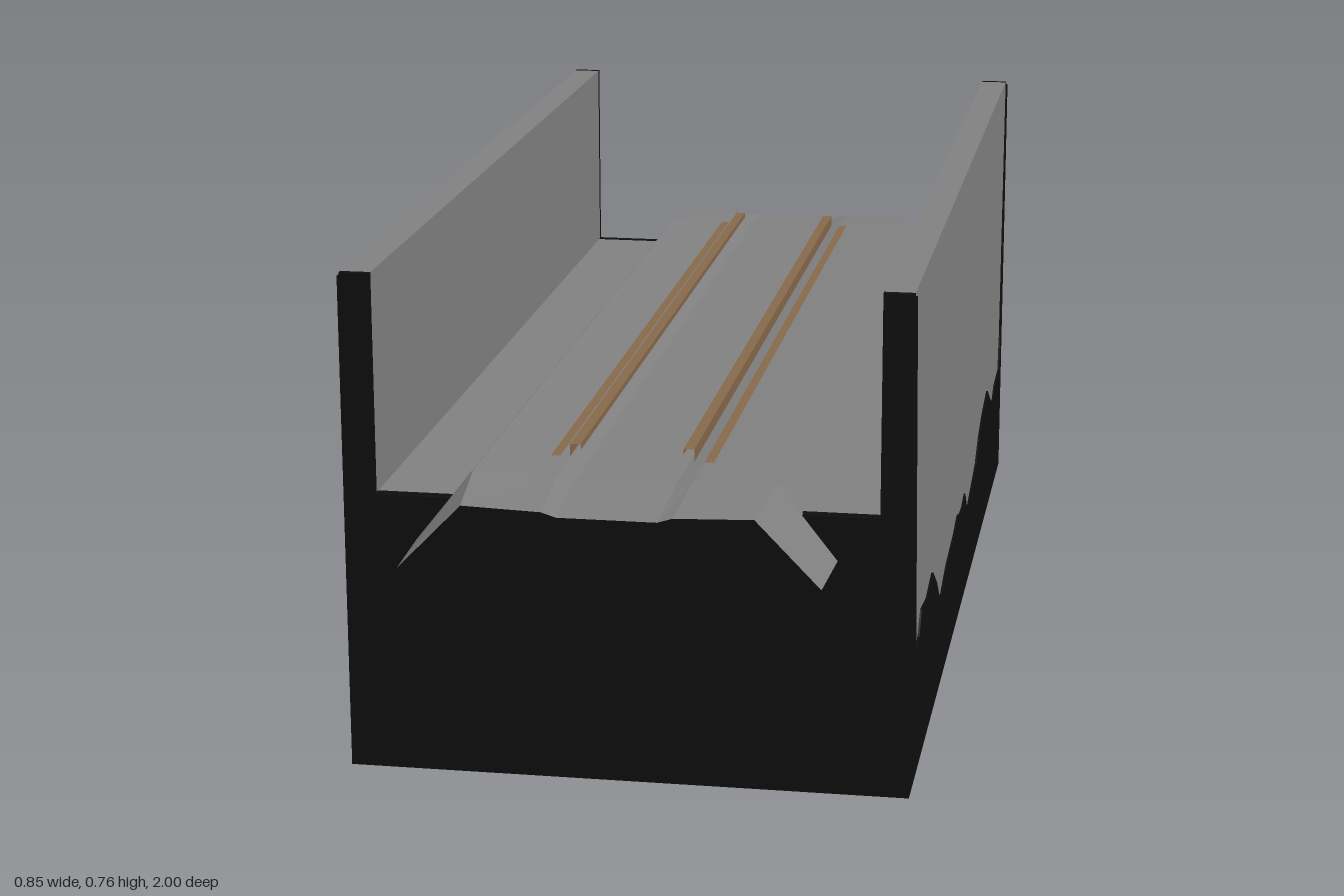
import * as THREE from 'three';

const mat = (name, color, side = THREE.FrontSide) => {
  const m = new THREE.MeshStandardMaterial({ color, side });
  m.name = name;
  return m;
};

// Open sheet lofted through equal-length cross-sections [[x, y, z], ...], flat shaded.
function sheet(sections) {
  const pos = [];
  for (let i = 0; i < sections.length - 1; i++) {
    const p = sections[i], q = sections[i + 1];
    for (let j = 0; j < p.length - 1; j++) {
      pos.push(...p[j], ...q[j], ...q[j + 1], ...p[j], ...q[j + 1], ...p[j + 1]);
    }
  }
  const g = new THREE.BufferGeometry();
  g.setAttribute('position', new THREE.Float32BufferAttribute(pos, 3));
  g.computeVertexNormals();
  return g;
}

// U-shaped channel section, extruded from z0 to z1
function channel(z0, z1, base, w = 0.42, top = 0.765) {
  const s = new THREE.Shape([
    [-w, base], [w, base], [w, top], [0.375, top],
    [0.375, 0.43], [-0.375, 0.43], [-0.375, top], [-w, top],
  ].map(([x, y]) => new THREE.Vector2(x, y)));
  const g = new THREE.ExtrudeGeometry(s, { depth: z1 - z0, bevelEnabled: false });
  return g.translate(0, 0, z0);
}

// Ragged upper edge of the dark skirt on each side, as [z, y]
const leftEdge = [
  [0.85, 0.76], [0.79, 0.24], [0.78, 0.2], [0.74, 0.21], [0.705, 0.24], [0.62, 0.228], [0.53, 0.24],
  [0.46, 0.2], [0.41, 0.16], [0.37, 0.148], [0.28, 0.168], [0.14, 0.178], [0.08, 0.19], [0.03, 0.178],
  [-0.01, 0.176], [-0.06, 0.185], [-0.1, 0.15], [-0.14, 0.14], [-0.29, 0.168], [-0.35, 0.2],
  [-0.42, 0.222], [-0.53, 0.24], [-0.61, 0.2], [-0.67, 0.18], [-0.715, 0.2], [-0.81, 0.205],
  [-0.83, 0.27], [-0.852, 0.76],
];
const rightEdge = [
  [0.855, 0.76], [0.83, 0.45], [0.79, 0.29], [0.73, 0.262], [0.6, 0.25], [0.47, 0.26], [0.3, 0.205],
  [0.2, 0.16], [0.125, 0.15], [0, 0.155], [-0.13, 0.19], [-0.305, 0.2], [-0.43, 0.18], [-0.56, 0.15],
  [-0.68, 0.155], [-0.75, 0.18], [-0.82, 0.28], [-0.85, 0.76],
];

export function createModel() {
  const group = new THREE.Group();
  const grey = mat('stone grey', 0x808080);
  const greySheet = mat('bed grey', 0x808080, THREE.DoubleSide);
  const black = mat('black', 0x0e0e0e);
  const brown = mat('rail brown', 0x86694a, THREE.DoubleSide);
  const add = (name, geometry, material) => {
    const m = new THREE.Mesh(geometry, material);
    m.name = name;
    group.add(m);
    return m;
  };

  // Channel body with dark ends and underside
  add('channelBody', channel(-0.852, 0.852, 0.004), grey);
  add('frontEnd', channel(0.852, 0.862, 0), black);
  add('backEnd', channel(-0.862, -0.852, 0), black);
  add('underside', new THREE.BoxGeometry(0.84, 0.004, 1.704).translate(0, 0.002, 0), black);

  // Dark lips where the floor meets each end
  for (const sx of [-1, 1]) for (const sz of [-1, 1]) {
    add('floorLip', new THREE.BoxGeometry(0.125, 0.002, 0.008).translate(sx * 0.3125, 0.43, sz * 0.849), black);
  }

  // Ragged dark skirts on the outer walls
  const skirt = (name, edge, x) => {
    const pts = [[-0.862, 0], [0.862, 0], [0.862, 0.76], ...edge, [-0.862, 0.76]];
    const s = new THREE.Shape(pts.map(([z, y]) => new THREE.Vector2(z, y)));
    const g = new THREE.ExtrudeGeometry(s, { depth: 0.004, bevelEnabled: false });
    add(name, g.rotateY(-Math.PI / 2).translate(x, 0, 0), black);
  };
  skirt('leftSkirt', leftEdge, 0.423);
  skirt('rightSkirt', rightEdge, -0.419);

  // Raised track bed, drooping slightly at both ends
  const section = (half, z) => [
    ...half.map(([x, y]) => [-x, y, z]),
    ...half.slice().reverse().map(([x, y]) => [x, y, z]),
  ];
  const middle = [[0.314, 0.363], [0.226, 0.475], [0.1, 0.47], [0.075, 0.464]];
  const end = [[0.308, 0.365], [0.212, 0.464], [0.095, 0.46], [0.073, 0.453]];
  add('trackBed', sheet([
    section(end, 1), section(middle, 0.86), section(middle, -0.86), section(end, -1),
  ]), greySheet);

  // Rails: a bent strip with a flat foot beside it
  for (const s of [-1, 1]) {
    const strip = (name, pts) => add(name, sheet(
      [0.8, -0.8].map((z) => pts.map(([x, y]) => [s * x, y, z]))), brown);
    strip('rail', [[0.093, 0.484], [0.093, 0.503], [0.077, 0.503], [0.077, 0.494]]);
    strip('railFoot', [[0.108, 0.484], [0.122, 0.484]]);
  }
  return group;
}
